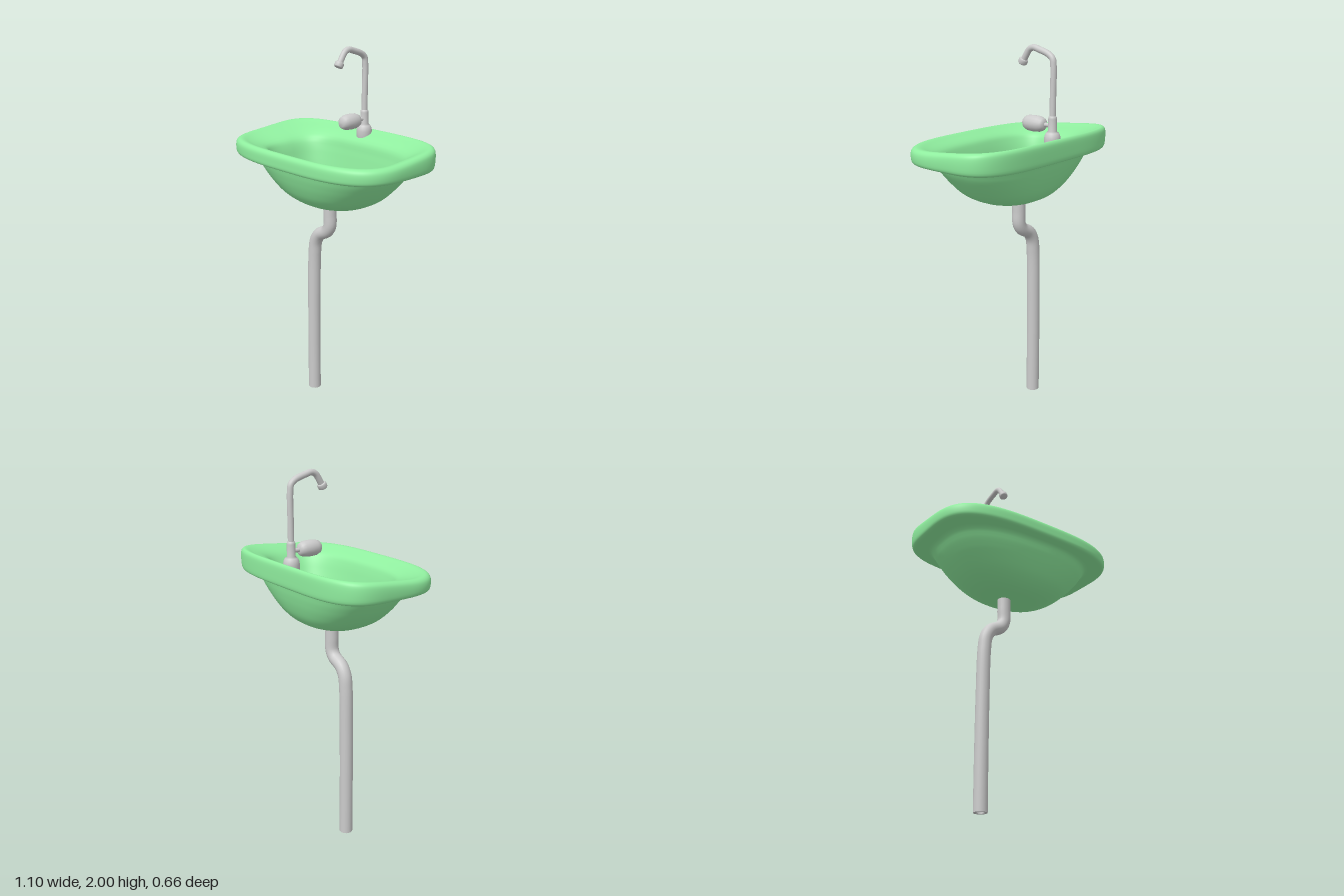
import * as THREE from 'three';

const grey = new THREE.MeshStandardMaterial({ color: 0xcccccc, side: THREE.DoubleSide });
const green = new THREE.MeshStandardMaterial({ color: 0x90ee9f, side: THREE.DoubleSide });

function add(parent, name, geometry, material = grey) {
  const mesh = new THREE.Mesh(geometry, material);
  mesh.name = name;
  parent.add(mesh);
  return mesh;
}

const lathe = (pts, segs = 24) =>
  new THREE.LatheGeometry(pts.map(([r, y]) => new THREE.Vector2(r, y)), segs);

const path = (pts) =>
  new THREE.CatmullRomCurve3(pts.map((p) => new THREE.Vector3(...p)), false, 'centripetal');

// Rounded-rectangle rings: [-x reach, +x reach, back z, front z, y, squareness]
const rings = [
  // outer bowl, bottom to top
  [0, 0, -0.025, -0.025, 1.185, 2.1],
  [0.1, 0.1, -0.105, 0.06, 1.187, 2.1],
  [0.21, 0.205, -0.18, 0.13, 1.208, 2.2],
  [0.3, 0.295, -0.225, 0.187, 1.253, 2.3],
  [0.37, 0.362, -0.254, 0.224, 1.315, 2.45],
  [0.417, 0.412, -0.272, 0.248, 1.375, 2.6],
  [0.455, 0.45, -0.285, 0.267, 1.428, 2.75],
  // rim
  [0.51, 0.51, -0.313, 0.308, 1.429, 3.05],
  [0.542, 0.542, -0.327, 0.327, 1.438, 3.15],
  [0.55, 0.55, -0.33, 0.33, 1.465, 3.2],
  [0.547, 0.547, -0.329, 0.328, 1.495, 3.2],
  [0.533, 0.533, -0.321, 0.316, 1.511, 3.2],
  [0.513, 0.513, -0.31, 0.3, 1.513, 3.15],
  [0.475, 0.48, -0.285, 0.275, 1.502, 3.1],
  // ledge and inner bowl, top to bottom
  [0.38, 0.435, -0.215, 0.225, 1.475, 2.9],
  [0.355, 0.405, -0.198, 0.205, 1.435, 2.8],
  [0.34, 0.375, -0.186, 0.188, 1.37, 2.7],
  [0.325, 0.34, -0.174, 0.17, 1.305, 2.6],
  [0.28, 0.28, -0.155, 0.14, 1.25, 2.4],
  [0.19, 0.185, -0.12, 0.09, 1.217, 2.2],
  [0.08, 0.08, -0.07, 0.03, 1.202, 2.1],
  [0, 0, -0.025, -0.025, 1.2, 2.1],
];
const ledgeRing = 14;

function basinGeometry() {
  const { smoothstep } = THREE.MathUtils;
  const spline = (a, b) => new THREE.SplineCurve(rings.map((r) => new THREE.Vector2(r[a], r[b])));
  const sides = spline(0, 1), backFront = spline(2, 3), heightSquare = spline(4, 5);
  const steps = 4, rows = (rings.length - 1) * steps, cols = 96;
  const pos = [], index = [];
  for (let i = 0; i <= rows; i++) {
    const t = i / rows;
    const w = sides.getPoint(t), d = backFront.getPoint(t), { x: y, y: n } = heightSquare.getPoint(t);
    const mid = (d.x + d.y) / 2, half = (d.y - d.x) / 2;
    const inner = smoothstep(i / steps, ledgeRing - 1, ledgeRing + 1);
    for (let j = 0; j < cols; j++) {
      const a = (j / cols) * Math.PI * 2, c = Math.cos(a), s = Math.sin(a);
      // back corners are squarer than front ones
      const e = 2 / (s < 0 ? 2 + (n - 2) * 1.8 : n);
      const z = mid + half * Math.sign(s) * Math.abs(s) ** e;
      // the -x wall of the inner bowl slants inwards towards the back
      const slant = c < 0 ? 1 + 0.45 * inner * (z - 0.12) : 1;
      const x = (c < 0 ? -w.x : w.y) * slant * Math.abs(c) ** e;
      // the top of the rim rises towards the back
      const rise = 0.035 * smoothstep(-z, -0.18, 0.33) * smoothstep(y, 1.43, 1.5);
      pos.push(x, y + rise, z);
      if (i < rows) {
        const p = i * cols + j, q = i * cols + ((j + 1) % cols);
        index.push(p, p + cols, q, q, p + cols, q + cols);
      }
    }
  }
  const g = new THREE.BufferGeometry();
  g.setAttribute('position', new THREE.Float32BufferAttribute(pos, 3));
  g.setIndex(index);
  g.computeVertexNormals();
  return g;
}

export function createModel() {
  const model = new THREE.Group();
  model.name = 'washbasin';

  add(model, 'basin', basinGeometry(), green);

  // Drain pipe with an offset bend and an open lower end
  const drain = new THREE.Group();
  drain.name = 'drainPipe';
  drain.position.z = -0.035;
  model.add(drain);
  const drainPath = path([
    [-0.031, 1.198, 0], [-0.031, 1.12, 0], [-0.033, 1.05, 0], [-0.055, 1.014, 0],
    [-0.115, 0.98, 0], [-0.144, 0.935, 0], [-0.155, 0.86, 0],
    [-0.161, 0.6, 0], [-0.163, 0.3, 0], [-0.163, 0, 0],
  ]);
  add(drain, 'pipeOutside', new THREE.TubeGeometry(drainPath, 90, 0.036, 20));
  add(drain, 'pipeInside', new THREE.TubeGeometry(drainPath, 90, 0.022, 20));
  const end = add(drain, 'pipeEnd', new THREE.RingGeometry(0.022, 0.036, 20));
  end.rotation.x = Math.PI / 2;
  end.position.x = -0.163;

  // Tap
  const tap = new THREE.Group();
  tap.name = 'tap';
  tap.position.set(-0.01, 0, -0.27);
  model.add(tap);
  add(tap, 'tapBase', lathe([
    [0.034, 1.49], [0.041, 1.51], [0.042, 1.545], [0.039, 1.562], [0.032, 1.575], [0.022, 1.583],
    [0.022, 1.645], [0.02, 1.655], [0.015, 1.66],
  ]));
  const spoutPath = path([
    [0, 1.6, 0], [0, 1.75, 0], [0, 1.9, 0], [0, 1.935, 0.006], [0, 1.956, 0.03],
    [0, 1.976, 0.09], [0, 1.984, 0.125], [0, 1.975, 0.15], [0, 1.94, 0.176], [0, 1.915, 0.19],
  ]);
  add(tap, 'spout', new THREE.TubeGeometry(spoutPath, 80, 0.016, 16));
  const nozzle = add(tap, 'nozzle', lathe([
    [0, -0.015], [0.019, -0.015], [0.024, -0.01], [0.024, 0.008], [0.02, 0.013], [0.014, 0.014],
  ]));
  nozzle.position.set(0, 1.914, 0.192);
  nozzle.rotation.x = -0.5;

  // Rounded lever knob on a short stem
  const knob = add(tap, 'knob', lathe([
    [0, -0.067], [0.02, -0.066], [0.032, -0.055], [0.04, -0.034], [0.042, 0],
    [0.04, 0.034], [0.032, 0.055], [0.02, 0.066], [0, 0.067],
  ], 16));
  knob.rotation.x = Math.PI / 2;
  knob.position.set(0.003, 1.61, 0.112);
  const stem = add(tap, 'knobStem', new THREE.CylinderGeometry(0.011, 0.011, 0.06, 16));
  stem.rotation.x = Math.PI / 2;
  stem.position.set(0, 1.61, 0.03);

  return model;
}
